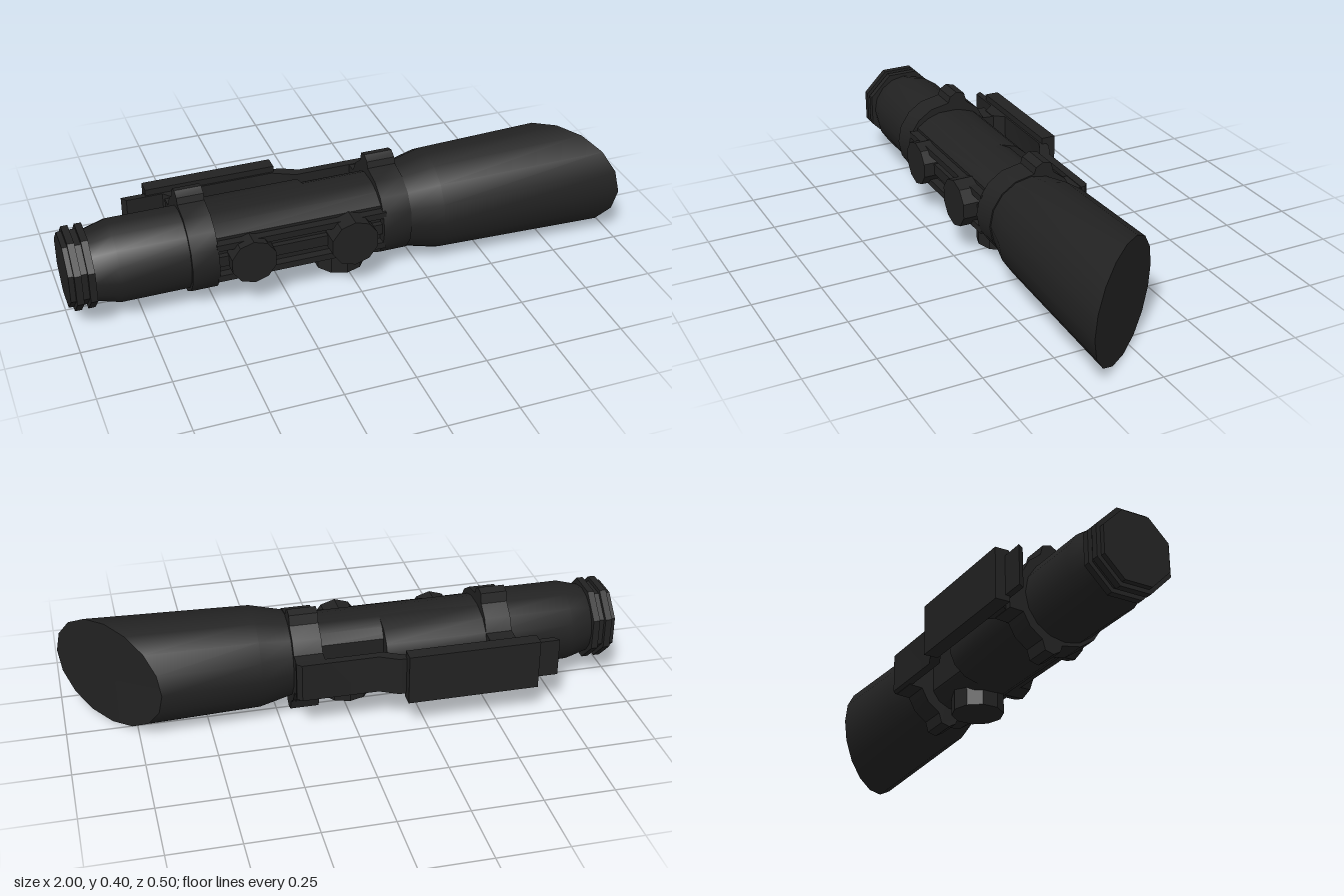
import * as THREE from 'three';
import { toCreasedNormals } from 'three/addons/utils/BufferGeometryUtils.js';

const CY = 0.204, CZ = 0.046; // optical axis, running along x

export function createModel() {
  const model = new THREE.Group();
  model.name = 'scope';
  const black = new THREE.MeshStandardMaterial({ color: 0x222222 });
  black.name = 'matte black';

  const add = (name, geo) => {
    const mesh = new THREE.Mesh(toCreasedNormals(geo, 0.5), black);
    mesh.name = name;
    model.add(mesh);
    return mesh;
  };
  // Turned part along x from [x, radius] pairs
  const turned = (profile, sides, start = 0) =>
    new THREE.LatheGeometry(profile.map(([x, r]) => new THREE.Vector2(r, x)), sides, start)
      .rotateZ(-Math.PI / 2).translate(0, CY, CZ);
  // Outline of [z, y] points swept from x0 to x1
  const alongX = (pts, x0, x1) =>
    new THREE.ExtrudeGeometry(new THREE.Shape(pts.map(([z, y]) => new THREE.Vector2(-z, y))),
      { depth: x1 - x0, bevelEnabled: false }).rotateY(Math.PI / 2).translate(x0, 0, 0);
  // Outline of [x, z] points swept from y0 to y1
  const alongY = (pts, y0, y1) =>
    new THREE.ExtrudeGeometry(new THREE.Shape(pts.map(([x, z]) => new THREE.Vector2(x, -z))),
      { depth: y1 - y0, bevelEnabled: false }).rotateX(-Math.PI / 2).translate(0, y0, 0);
  const box = (x0, x1, y0, y1, z0, z1) =>
    new THREE.BoxGeometry(x1 - x0, y1 - y0, z1 - z0)
      .translate((x0 + x1) / 2, (y0 + y1) / 2, (z0 + z1) / 2);
  // Half outline of [z, dy] points mirrored about the axis height
  const mirrored = (half) => [
    ...half.map(([z, d]) => [z, CY + d]),
    ...half.filter(([, d]) => d > 0).reverse().map(([z, d]) => [z, CY - d]),
  ];

  // Eyepiece with two flanges, eight flat sides
  const k = 1 / Math.cos(Math.PI / 8);
  add('eyepiece', turned([
    [-1, 0], [-1, 0.122], [-0.982, 0.122], [-0.982, 0.137], [-0.958, 0.137], [-0.958, 0.122],
    [-0.936, 0.122], [-0.936, 0.137], [-0.912, 0.137], [-0.912, 0.118], [-0.9, 0],
  ].map(([x, r]) => [x, r * k]), 8, Math.PI / 8));

  // Rear tube
  add('rearTube', turned([[-0.915, 0], [-0.915, 0.124], [-0.83, 0.147], [-0.5, 0.147], [-0.5, 0]], 16));

  // Objective bell, its end cut on a slant
  const bell = turned([[0.15, 0], [0.15, 0.155], [0.2, 0.155], [0.32, 0.184], [1, 0.203], [1, 0]], 16);
  const p = bell.attributes.position;
  for (let i = 0; i < p.count; i++) {
    if (p.getX(i) < 0.9) continue;
    const x = 0.67 + (p.getZ(i) + 0.157) / 0.406 * 0.327;
    const shrink = (0.184 + 0.019 * (x - 0.32) / 0.68) / 0.203;
    p.setXYZ(i, x, CY + (p.getY(i) - CY) * shrink, CZ + (p.getZ(i) - CZ) * shrink);
  }
  add('objectiveBell', bell);

  // Central housing, rear bulge and front rails
  add('housing', alongX(mirrored([
    [0.165, 0], [0.165, 0.085], [0.12, 0.115], [0.075, 0.13], [0.0, 0.13], [-0.04, 0.11], [-0.065, 0.075],
  ]), -0.5, 0.11));
  add('housingBulge', alongX(mirrored([
    [0.05, 0], [0.05, 0.13], [0.0, 0.13], [-0.065, 0.11], [-0.105, 0.075], [-0.125, 0.03],
  ]), -0.5, -0.13));
  for (const s of [-1, 1]) {
    const y = CY + s * 0.062;
    add('frontRail', box(-0.5, 0.11, y - 0.012, y + 0.012, 0.15, 0.195));
  }
  add('frontRib', box(-0.5, 0.11, CY - 0.02, CY + 0.02, 0.15, 0.185));

  // Clamp rings with lugs above and below
  const ring = mirrored([
    [0.206, 0], [0.194, 0.061], [0.159, 0.113], [0.107, 0.148], [0.035, 0.162], [0.028, 0.185],
    [0.012, 0.193], [0.002, 0.2], [-0.03, 0.191], [-0.04, 0.155], [-0.085, 0.12],
    [-0.11, 0.073], [-0.16, 0.07],
  ]);
  for (const x of [-0.59, 0.1]) add('clampRing', alongX(ring, x, x + (x < 0 ? 0.095 : 0.103)));

  // Adjustment knobs: two on the front, one below
  const knob = (r, h) => new THREE.CylinderGeometry(r, r, h, 10);
  add('frontKnob', knob(0.082, 0.062).rotateX(Math.PI / 2)).position.set(-0.38, CY, 0.194);
  add('frontKnob', knob(0.087, 0.075).rotateX(Math.PI / 2)).position.set(-0.02, CY, 0.2);
  add('lowerKnob', knob(0.093, 0.075)).position.set(-0.015, 0.057, 0.052);

  // Mounting arm joining the rings, and the raised plate on its back
  add('mountArm', alongY([
    [-0.735, -0.213], [-0.17, -0.213], [-0.15, -0.213], [-0.085, -0.18], [0.188, -0.18],
    [0.205, -0.165], [0.205, -0.15], [-0.105, -0.15], [-0.185, -0.19], [-0.465, -0.19],
    [-0.498, -0.15], [-0.555, -0.15], [-0.59, -0.19], [-0.72, -0.19],
  ], 0.136, 0.277));
  add('mountPlate', box(-0.65, -0.175, 0.116, 0.3, -0.249, -0.197));

  return model;
}
